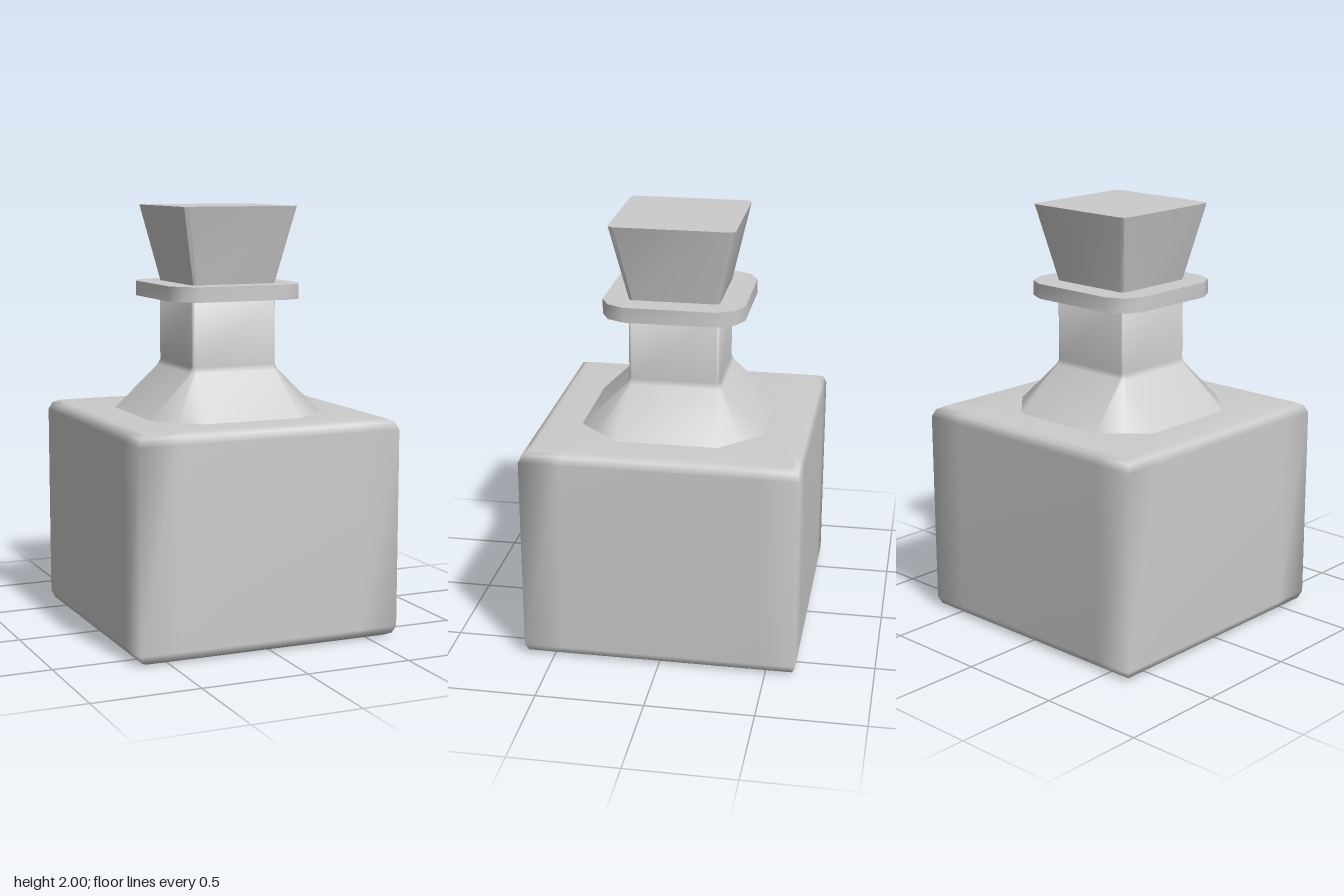
import * as THREE from 'three';
import { toCreasedNormals } from 'three/addons/utils/BufferGeometryUtils.js';

const material = new THREE.MeshStandardMaterial({ color: 0xcccccc });

// Square section: half width a, flat side up to e, corner point at (c, c)
function section(y, a, e, c) {
  const points = [];
  for (let q = 0; q < 4; q++) {
    for (const [x, z] of [[a, -e], [a, e], [c, c]]) {
      let px = x, pz = z;
      for (let k = 0; k < q; k++) [px, pz] = [-pz, px];
      points.push([px, y, pz]);
    }
  }
  return points;
}

// Skin the sections from bottom to top, and close both ends
function loft(name, rows, crease) {
  const n = 12;
  const positions = rows.flatMap((r) => section(...r).flat());
  const index = [];
  for (let r = 0; r < rows.length - 1; r++) {
    for (let i = 0; i < n; i++) {
      const a = r * n + i, b = r * n + (i + 1) % n;
      index.push(a, a + n, b, b, a + n, b + n);
    }
  }
  const bottom = rows.length * n, top = bottom + 1, last = (rows.length - 1) * n;
  positions.push(0, rows[0][0], 0, 0, rows[rows.length - 1][0], 0);
  for (let i = 0; i < n; i++) {
    const j = (i + 1) % n;
    index.push(bottom, i, j, top, last + j, last + i);
  }
  let geometry = new THREE.BufferGeometry();
  geometry.setAttribute('position', new THREE.Float32BufferAttribute(positions, 3));
  geometry.setIndex(index);
  if (crease) geometry = toCreasedNormals(geometry, crease);
  else geometry.computeVertexNormals();
  const mesh = new THREE.Mesh(geometry, material);
  mesh.name = name;
  return mesh;
}

export function createModel() {
  const group = new THREE.Group();
  group.name = 'bottle';

  // Square body with soft top and bottom edges
  group.add(loft('body', [
    [0, 0.595, 0.44, 0.595],
    [0.015, 0.625, 0.45, 0.625],
    [0.05, 0.64, 0.45, 0.64],
    [0.98, 0.64, 0.45, 0.64],
    [1.015, 0.625, 0.45, 0.625],
    [1.03, 0.595, 0.44, 0.595],
    [1.03, 0.42, 0.24, 0.33],
  ]));

  // Flared shoulder running into the square neck
  group.add(loft('neck', [
    [1.01, 0.45, 0.245, 0.345],
    [1.03, 0.43, 0.24, 0.335],
    [1.235, 0.225, 0.2, 0.212],
    [1.26, 0.212, 0.197, 0.207],
    [1.58, 0.212, 0.197, 0.207],
  ]));

  // Lip around the mouth
  group.add(loft('lip', [
    [1.57, 0.33, 0.21, 0.29],
    [1.64, 0.33, 0.21, 0.29],
  ], 0.7));

  // Tapered stopper
  group.add(loft('stopper', [
    [1.63, 0.209, 0.19, 0.203],
    [2, 0.29, 0.262, 0.282],
  ], 0.4));

  return group;
}
